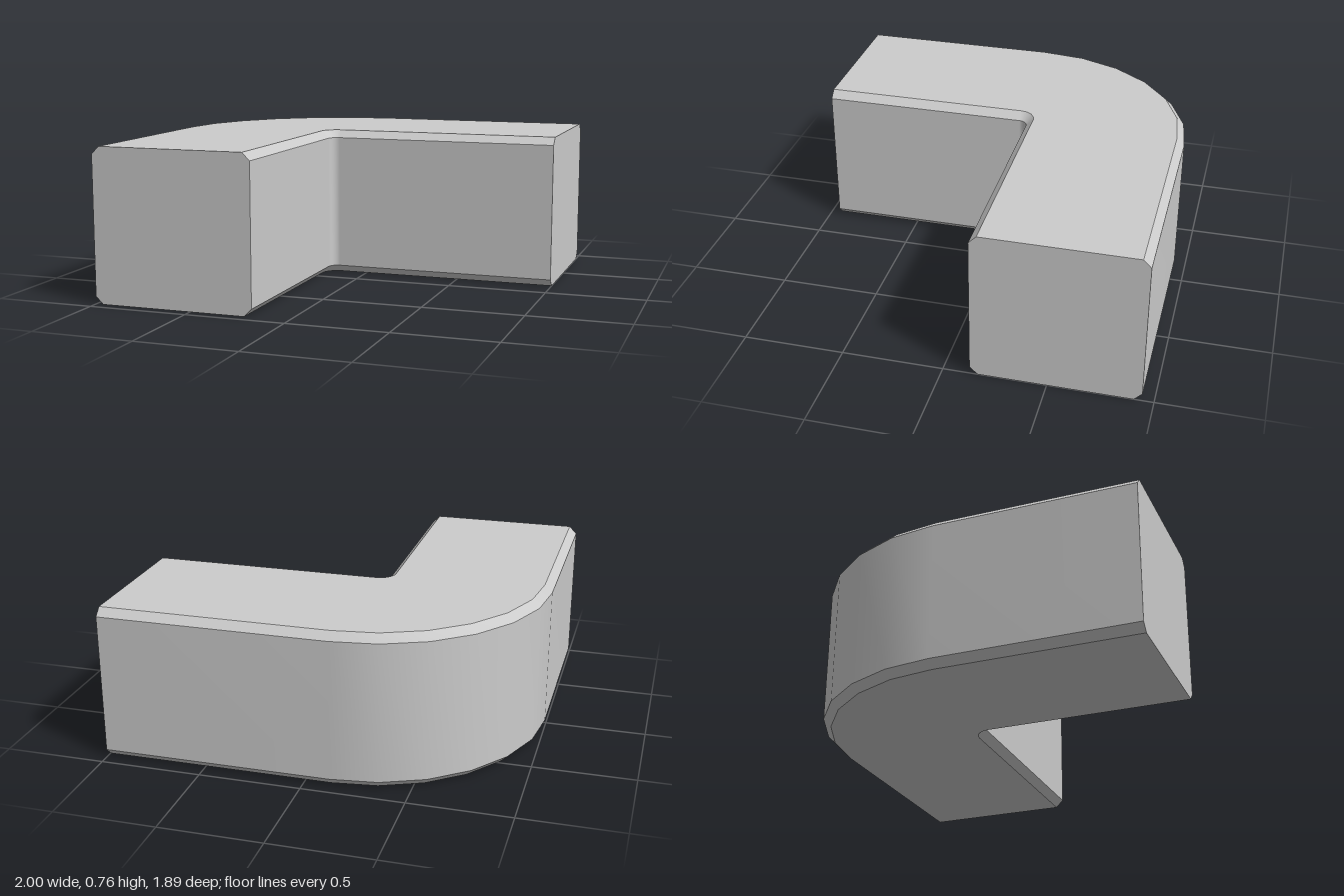
import * as THREE from 'three';

const H = 0.765, C = 0.038;          // height and chamfer size
const FRONT = 0.945, SIDE = 1;       // ends of the two legs
const STEPS = 6;                     // facets around the bend

// Corner arcs of the outer and inner walls: centre, radii and chamfer direction
const outer = { x: -0.125, z: -0.05, rx: 0.875, rz: 0.895, inset: -1 };
const inner = { x: -0.14, z: -0.085, rx: 0.045, rz: 0.045, inset: 1 };

// Chamfered cross-section: wall, inset from the wall, height
const section = [
  [outer, C, 0], [inner, C, 0], [inner, 0, C], [inner, 0, H - C],
  [inner, C, H], [outer, C, H], [outer, 0, H - C], [outer, 0, C],
];

// Stations: front leg end, the bend, side leg end
function railPoint([wall, inset, y], station) {
  const step = THREE.MathUtils.clamp(station - 1, 0, STEPS);
  const a = (step / STEPS) * Math.PI / 2;
  const d = wall.inset * inset;
  const p = new THREE.Vector3(
    wall.x - (wall.rx + d) * Math.cos(a), y,
    wall.z - (wall.rz + d) * Math.sin(a));
  if (station === 0) p.z = FRONT;
  if (station === STEPS + 2) p.x = SIDE;
  return p;
}

function createBend() {
  const positions = [], indices = [];
  const add = (p) => positions.push(p.x, p.y, p.z) / 3 - 1;

  // One strip per side, smooth along the sweep and sharp between sides
  section.forEach((a, i) => {
    const b = section[(i + 1) % section.length];
    const base = positions.length / 3;
    for (let s = 0; s <= STEPS + 2; s++) {
      add(railPoint(a, s));
      add(railPoint(b, s));
      if (s > 0) {
        const k = base + (s - 1) * 2;
        indices.push(k, k + 2, k + 1, k + 1, k + 2, k + 3);
      }
    }
  });

  // Flat caps on both leg ends
  for (const s of [0, STEPS + 2]) {
    const base = positions.length / 3;
    section.forEach((c) => add(railPoint(c, s)));
    for (let i = 1; i < section.length - 1; i++) {
      if (s === 0) indices.push(base, base + i, base + i + 1);
      else indices.push(base, base + i + 1, base + i);
    }
  }

  const geometry = new THREE.BufferGeometry();
  geometry.setAttribute('position', new THREE.Float32BufferAttribute(positions, 3));
  geometry.setIndex(indices);
  geometry.computeVertexNormals();
  return geometry;
}

export function createModel() {
  const group = new THREE.Group();
  group.name = 'cornerPiece';
  const bend = new THREE.Mesh(createBend(), new THREE.MeshStandardMaterial({ color: 0xcccccc }));
  bend.name = 'chamferedCornerBlock';
  group.add(bend);
  return group;
}
